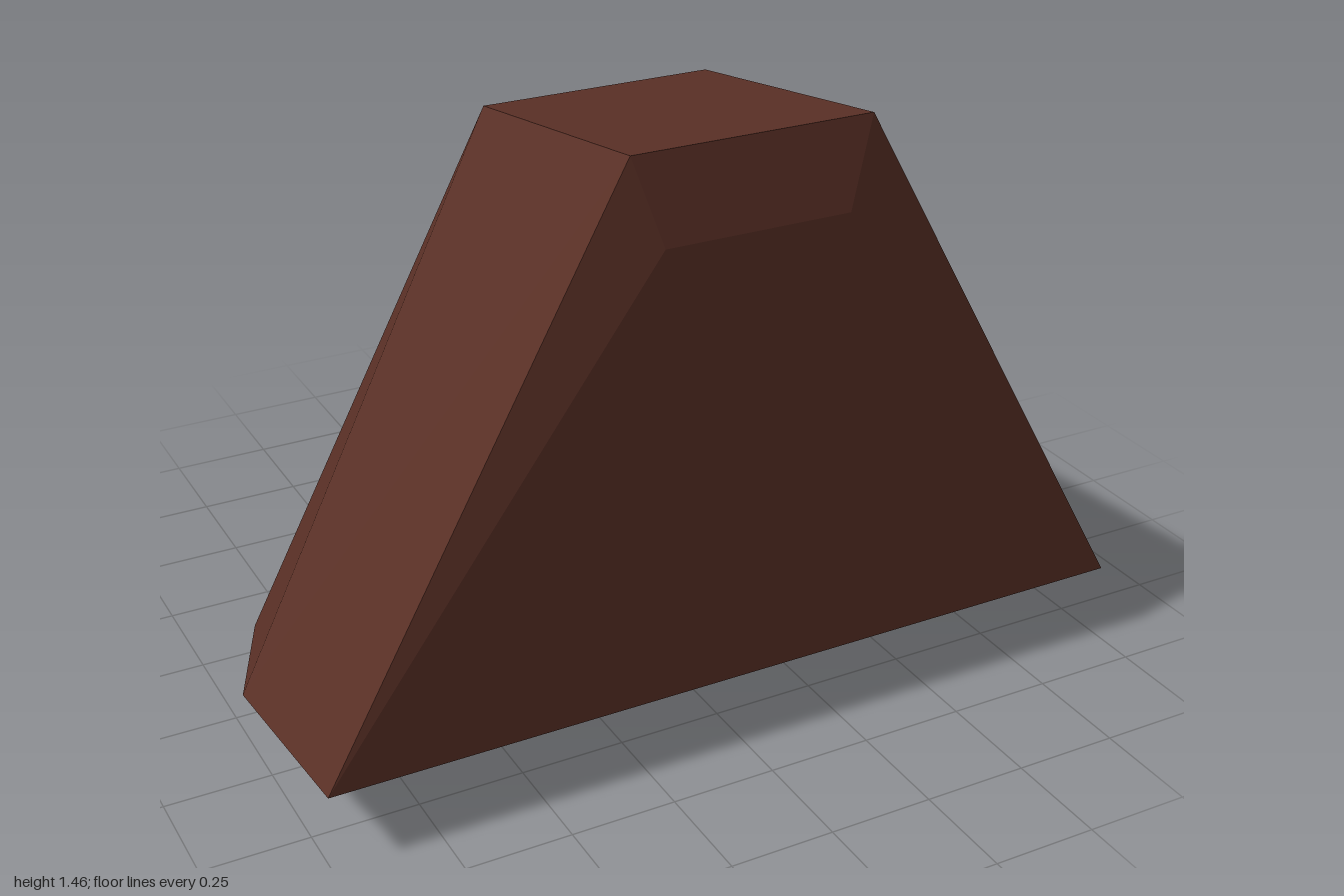
import * as THREE from 'three';
import { ConvexGeometry } from 'three/addons/geometries/ConvexGeometry.js';

export function createModel() {
  const group = new THREE.Group();
  group.name = 'facetedBlock';

  const brown = new THREE.MeshStandardMaterial({ color: 0x5a3026 });
  brown.name = 'dark brown';

  // Corners of the left half, mirrored across x = 0
  const half = [
    // sloping base outline, front to back
    [1, 0.187, 0.63], [1, 0.105, 0.07], [0.855, 0.0525, -0.28],
    // top outline, front to back
    [0.285, 1.46, 0.6], [0.285, 1.35, -0.105], [0.222, 1.05, -0.425],
    // lower edge of the front bevel
    [0.22, 1.26, 0.63],
  ];
  const corners = [new THREE.Vector3(0, 0, -0.63)]; // rear tip of the base
  for (const [x, y, z] of half) {
    for (const side of [1, -1]) corners.push(new THREE.Vector3(side * x, y, z));
  }

  const body = new THREE.Mesh(new ConvexGeometry(corners), brown);
  body.name = 'body';
  group.add(body);
  return group;
}
